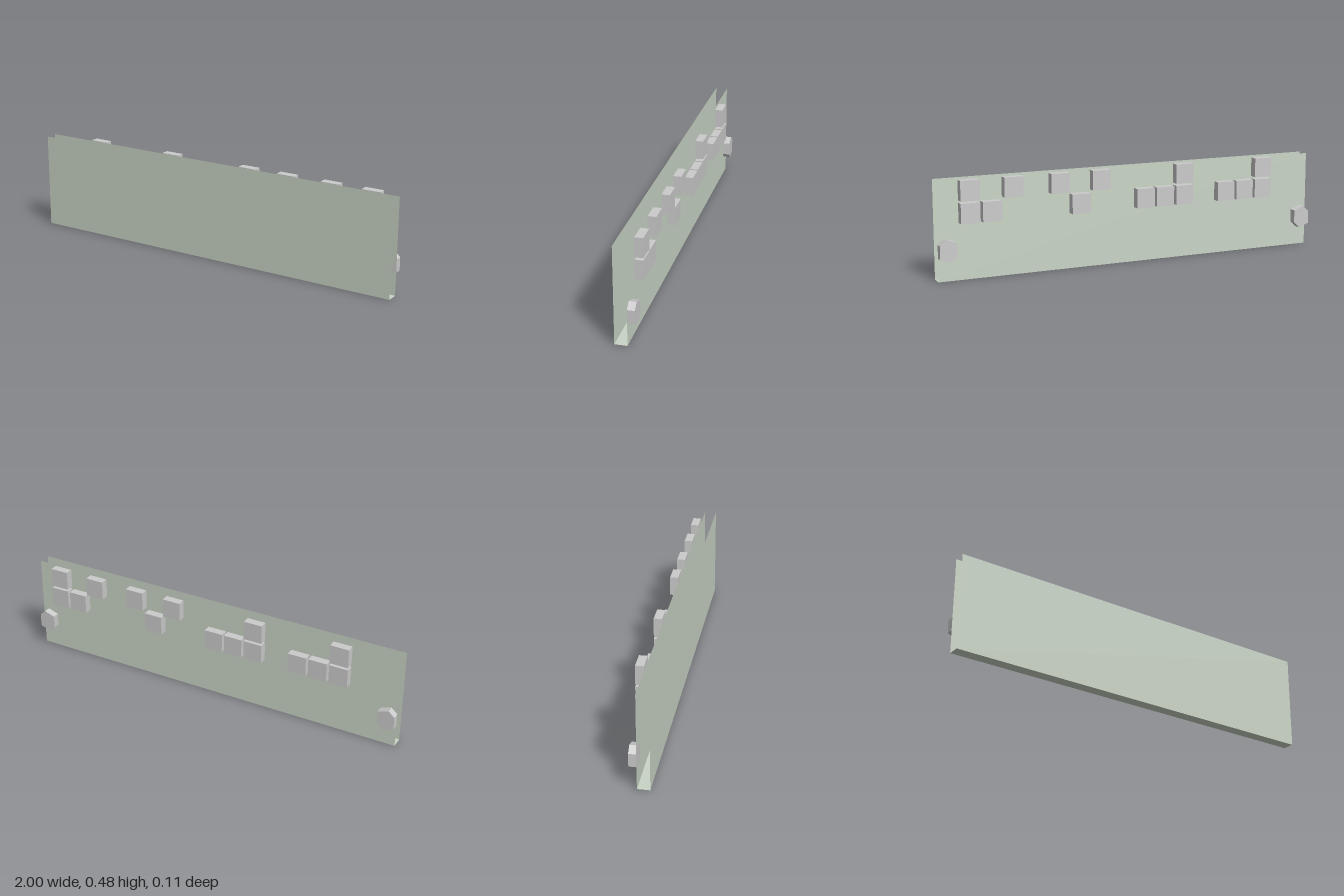
import * as THREE from 'three';

export function createModel() {
  const model = new THREE.Group();
  const grey = new THREE.MeshStandardMaterial({ color: 0xcccccc, flatShading: true });
  const green = new THREE.MeshStandardMaterial({ color: 0xcad5c6, side: THREE.DoubleSide });

  const height = 0.48, frontZ = 0.055, backZ = -0.005;

  function add(name, geometry, material, x, y, z) {
    const mesh = new THREE.Mesh(geometry, material);
    mesh.name = name;
    mesh.position.set(x, y, z);
    model.add(mesh);
    return mesh;
  }

  // Folded sheet: two upright plates joined by a floor, open at the top and ends
  const plate = new THREE.PlaneGeometry(2, height);
  add('frontPlate', plate, green, 0, height / 2, frontZ);
  add('backPlate', plate, green, 0, height / 2, backZ).rotation.y = Math.PI;
  add('floorPlate', new THREE.PlaneGeometry(2, frontZ - backZ), green, 0, 0, (frontZ + backZ) / 2)
    .rotation.x = Math.PI / 2;

  // Blocks on the back: four groups of three columns, [column, row] with row 0 on top
  const blockGeometry = new THREE.BoxGeometry(0.095, 0.096, 0.04);
  const groups = [
    [[0, 0], [0, 1], [1, 1], [2, 1]],
    [[0, 0], [0, 1], [1, 1], [2, 1]],
    [[0, 0], [1, 1], [2, 0]],
    [[0, 0], [1, 1], [2, 1], [2, 0]],
  ];
  groups.forEach((cells, g) => {
    for (const [column, row] of cells) {
      add('block', blockGeometry, grey, -0.7125 + g * 0.45 + column * 0.107, 0.432 - row * 0.1075, -0.034);
    }
  });

  // Slightly skewed six-sided studs, mirrored at both ends
  const corners = [[0.012, 0.056], [0.0425, 0.028], [0.0425, -0.037],
    [-0.012, -0.056], [-0.0425, -0.028], [-0.0425, 0.037]];
  for (const side of [-1, 1]) {
    const outline = new THREE.Shape(corners.map(([x, y]) => new THREE.Vector2(side * x, y)));
    const stud = new THREE.ExtrudeGeometry(outline, { depth: 0.036, bevelEnabled: false });
    add(side > 0 ? 'leftStud' : 'rightStud', stud, grey, side * 0.9575, 0.151, -0.041);
  }

  return model;
}
